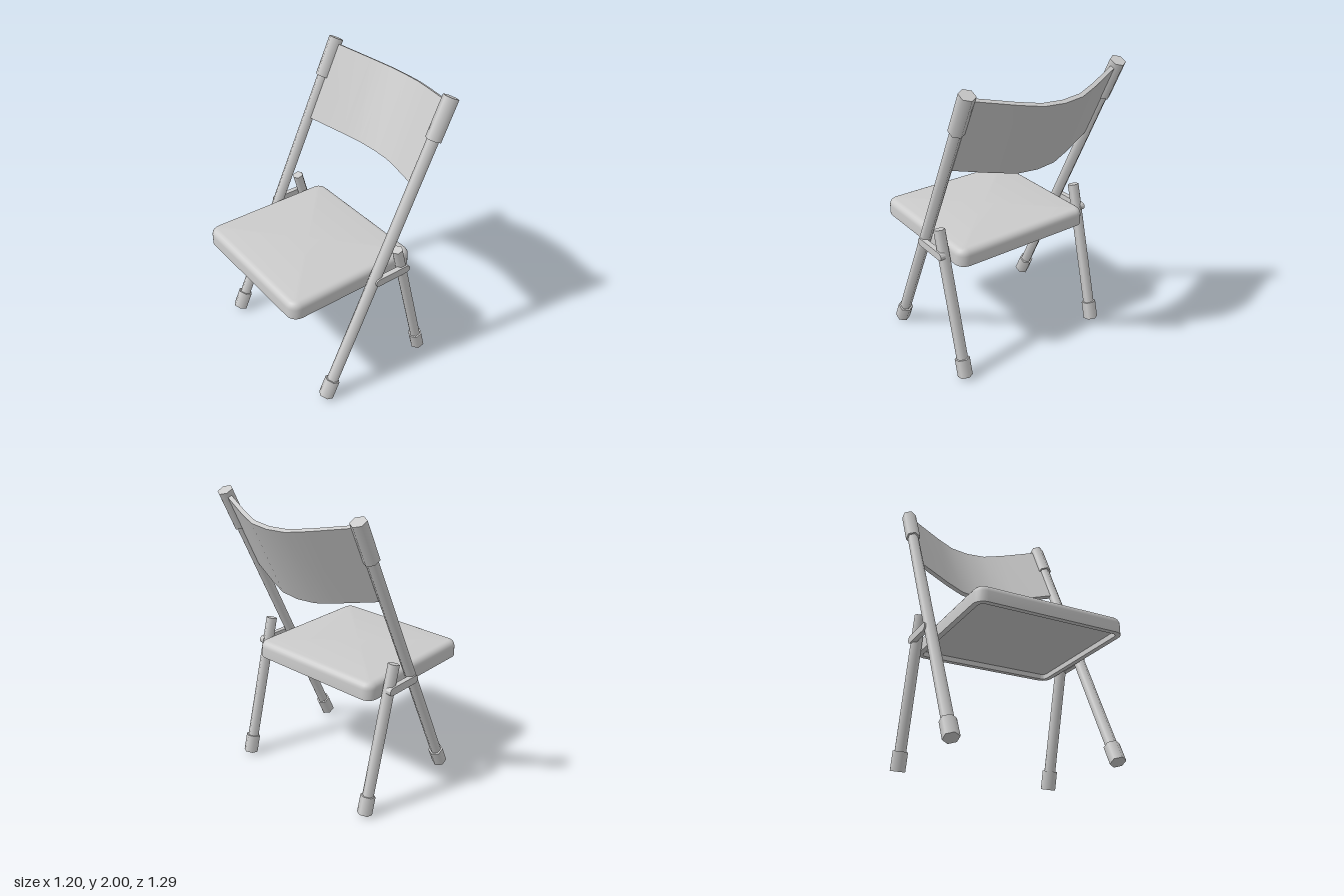
import * as THREE from 'three';
import { toCreasedNormals } from 'three/addons/utils/BufferGeometryUtils.js';

const material = new THREE.MeshStandardMaterial({ color: 0xcccccc });

function part(name, geometry) {
  const mesh = new THREE.Mesh(geometry, material);
  mesh.name = name;
  return mesh;
}

// Six-sided rod between two points
function rod(name, a, b, radius) {
  const dir = b.clone().sub(a);
  const mesh = part(name, new THREE.CylinderGeometry(radius, radius, dir.length(), 6));
  mesh.position.copy(a).add(b).multiplyScalar(0.5);
  mesh.rotation.x = Math.atan2(dir.z, dir.y);
  return mesh;
}

// One loop of a rounded rectangle, given half sizes and corner radius
function roundedLoop(hx, hz, r, y, zc, steps = 6) {
  const pts = [];
  for (let c = 0; c < 4; c++) {
    const sx = c === 0 || c === 3 ? 1 : -1;
    const sz = c < 2 ? 1 : -1;
    for (let i = 0; i <= steps; i++) {
      const a = (c + i / steps) * Math.PI / 2;
      pts.push([sx * (hx - r) + r * Math.cos(a), y, zc + sz * (hz - r) + r * Math.sin(a)]);
    }
  }
  return pts;
}

// Seat pan: rounded top edge, hollow underside with a thin rim
function seatGeometry() {
  const bottom = 0.785, top = 0.9, bevel = 0.045;
  const profile = [[0.035, bottom + 0.035], [0.035, bottom], [0, bottom], [0, top - bevel]];
  for (let i = 1; i <= 5; i++) {
    const a = (i / 5) * Math.PI / 2;
    profile.push([bevel * (1 - Math.cos(a)), top - bevel + bevel * Math.sin(a)]);
  }
  const zc = 0.167;
  const loops = profile.map(([inset, y]) =>
    roundedLoop(0.512 - inset, 0.48 - inset, Math.max(0.07 - inset, 0.015), y, zc));
  const n = loops[0].length;
  const positions = loops.flat(2);
  const index = [];
  for (let k = 0; k < loops.length - 1; k++) {
    for (let i = 0; i < n; i++) {
      const j = (i + 1) % n;
      const a = k * n + i, b = k * n + j, c = a + n, d = b + n;
      index.push(a, c, b, b, c, d);
    }
  }
  // Centre points close the underside and the top
  const under = positions.length / 3;
  positions.push(0, profile[0][1], zc, 0, top, zc);
  const last = (loops.length - 1) * n;
  for (let i = 0; i < n; i++) {
    const j = (i + 1) % n;
    index.push(under, i, j, under + 1, last + j, last + i);
  }
  const g = new THREE.BufferGeometry();
  g.setAttribute('position', new THREE.Float32BufferAttribute(positions, 3));
  g.setIndex(index);
  return toCreasedNormals(g, 0.7);
}

// Backrest: bowed strip extruded along the slope of the frame
function backrestGeometry() {
  const half = [[0, 0.197], [0.14, 0.183], [0.28, 0.131], [0.525, 0.024]];
  const back = [...half.slice(1).reverse().map(([x, d]) => [-x, d]), ...half];
  const front = back.map(([x, d]) => [x, d - 0.03]).reverse();
  const shape = new THREE.Shape([...back, ...front].map(([x, d]) => new THREE.Vector2(x, d)));
  const g = new THREE.ExtrudeGeometry(shape, { depth: 0.546, bevelEnabled: false });
  g.rotateX(-Math.PI / 2);
  return toCreasedNormals(g, 0.7);
}

// Side link: flat bar with rounded ends, running front to back
function linkGeometry(length, height, thickness) {
  const r = height / 2, h = length / 2 - r;
  const shape = new THREE.Shape();
  shape.absarc(h, 0, r, -Math.PI / 2, Math.PI / 2);
  shape.absarc(-h, 0, r, Math.PI / 2, Math.PI * 1.5);
  const g = new THREE.ExtrudeGeometry(shape, { depth: thickness, bevelEnabled: false, curveSegments: 8 });
  g.translate(0, 0, -thickness / 2);
  g.rotateY(Math.PI / 2);
  return toCreasedNormals(g, 0.7);
}

export function createModel() {
  const chair = new THREE.Group();
  chair.name = 'foldingChair';

  for (const [side, s] of [['left', 1], ['right', -1]]) {
    const at = (y, z) => new THREE.Vector3(s * 0.554, y, z);
    const frontFoot = at(0.025, 0.432), frontTop = at(1.978, -0.482);
    const rearFoot = at(0.02, -0.395), rearTop = at(1.005, -0.135);
    const along = (a, b, d) => a.clone().add(b.clone().sub(a).setLength(d));

    // Long front leg that carries the backrest, with its end sleeves
    chair.add(rod(side + 'FrontLeg', along(frontFoot, frontTop, 0.02), along(frontTop, frontFoot, 0.02), 0.039));
    chair.add(rod(side + 'FrontFootCap', frontFoot, along(frontFoot, frontTop, 0.13), 0.052));
    chair.add(rod(side + 'TopSleeve', frontTop, along(frontTop, frontFoot, 0.275), 0.052));

    // Short rear leg
    chair.add(rod(side + 'RearLeg', along(rearFoot, rearTop, 0.02), rearTop, 0.038));
    chair.add(rod(side + 'RearFootCap', rearFoot, along(rearFoot, rearTop, 0.127), 0.05));

    // Link joining the two legs
    const link = part(side + 'Link', linkGeometry(0.281, 0.053, 0.035));
    link.position.set(s * 0.581, 0.845, -0.077);
    chair.add(link);
  }

  chair.add(part('seat', seatGeometry()));

  // Backrest follows the slope of the front legs
  const slope = Math.atan2(-0.914, 1.953);
  const backrest = part('backrest', backrestGeometry());
  backrest.rotation.x = slope;
  backrest.position.set(0, 1.978 - 0.578 * Math.cos(slope), -0.482 - 0.578 * Math.sin(slope));
  chair.add(backrest);

  return chair;
}
